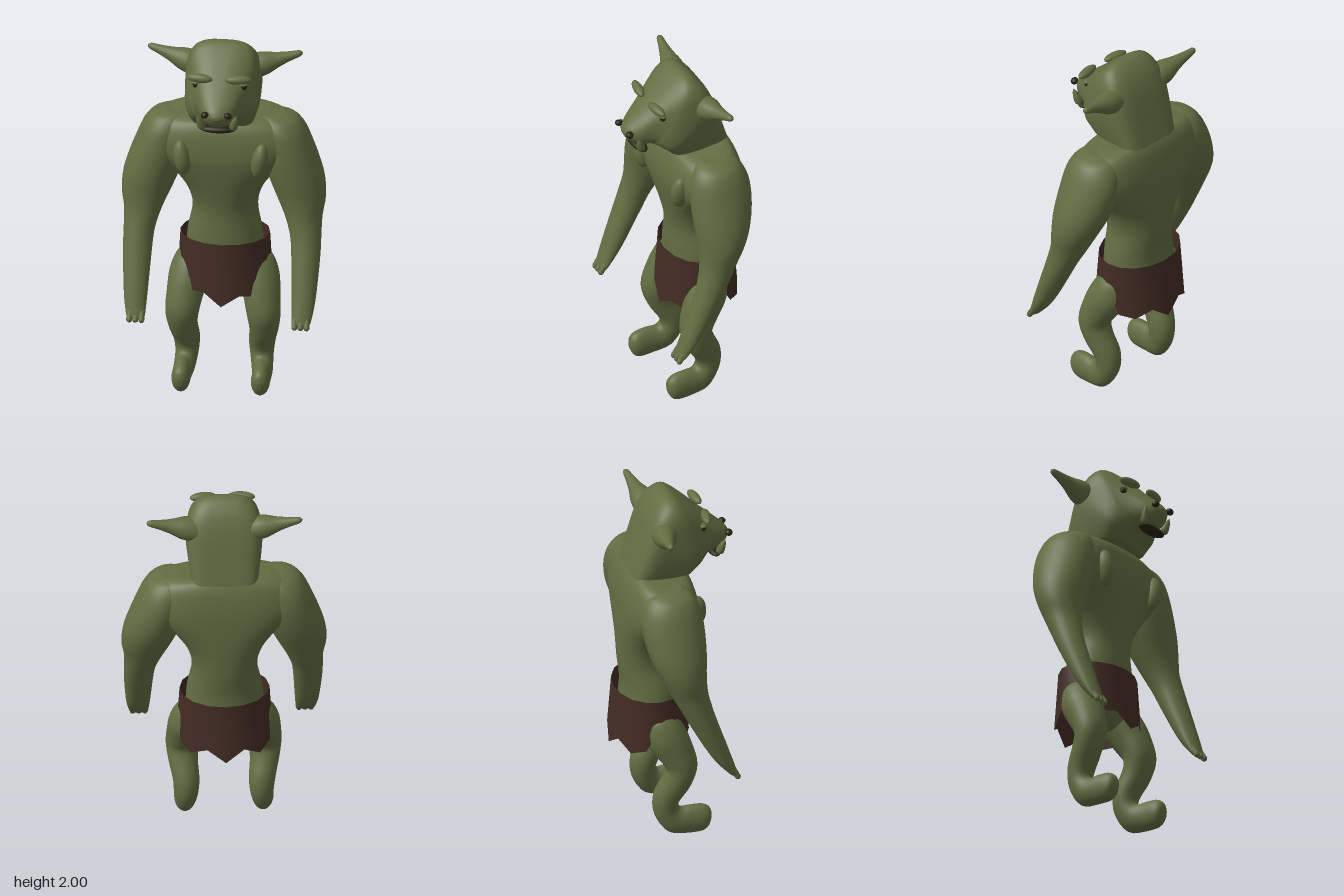
import * as THREE from 'three';

const mat = (name, color, side = THREE.FrontSide) => {
  const m = new THREE.MeshStandardMaterial({ color, side });
  m.name = name;
  return m;
};

// Catmull-Rom blend of number rows, so a few cross-sections give a smooth form
function smoothRows(rows, steps) {
  const out = [];
  const at = i => rows[Math.min(Math.max(i, 0), rows.length - 1)];
  for (let i = 0; i < rows.length - 1; i++) {
    const [a, b, c, d] = [at(i - 1), at(i), at(i + 1), at(i + 2)];
    for (let s = 0; s < steps; s++) {
      const t = s / steps;
      out.push(b.map((v, k) => v + 0.5 * t * (c[k] - a[k] +
        t * (2 * a[k] - 5 * v + 4 * c[k] - d[k] + t * (3 * (v - c[k]) + d[k] - a[k])))));
    }
  }
  out.push(at(rows.length - 1));
  return out;
}

// Loft of superellipse rings; row = [cx, cy, cz, half width, vy, vz, power],
// v = half depth vector, power 1 = round and lower = squarer
function loft(rows, { taper = 0, floor = -1, seg = 28, steps = 4 } = {}) {
  const pos = [], idx = [];
  const rings = smoothRows(rows, steps);
  const bend = (v, power) => Math.sign(v) * Math.abs(v) ** power;
  const ringPoints = ([cx, cy, cz, w, vy, vz, power]) => {
    for (let i = 0; i < seg; i++) {
      const a = i / seg * Math.PI * 2, c = bend(Math.cos(a), power), s = bend(Math.sin(a), power);
      pos.push(cx + c * w * (1 + taper * s), Math.max(floor, cy + s * vy), cz + s * vz);
    }
  };
  rings.forEach((r, j) => {
    ringPoints(r);
    if (!j) return;
    for (let i = 0; i < seg; i++) {
      const a = (j - 1) * seg + i, b = (j - 1) * seg + (i + 1) % seg;
      idx.push(a, b, b + seg, a, b + seg, a + seg);
    }
  });
  // end caps with their own corners, so the rims stay crisp
  [rings[0], rings[rings.length - 1]].forEach((r, end) => {
    const base = pos.length / 3;
    ringPoints(r);
    pos.push(r[0], Math.max(floor, r[1]), r[2]);
    for (let i = 0; i < seg; i++) {
      const a = base + i, b = base + (i + 1) % seg;
      if (end) idx.push(a, b, base + seg); else idx.push(b, a, base + seg);
    }
  });
  const g = new THREE.BufferGeometry();
  g.setAttribute('position', new THREE.Float32BufferAttribute(pos, 3));
  g.setIndex(idx);
  g.computeVertexNormals();
  return g;
}

// Level section: [y, cx, cz, rx, rz, power, rise towards the back]
const level = ([y, cx, cz, rx, rz, power = 1, rise = 0]) => [cx, y, cz, rx, rise, -rz, power];

// Sections square to a path in the side plane: [x, y, z, rx, r]
const along = rows => rows.map(([x, y, z, rx, r], i) => {
  const p = rows[Math.max(i - 1, 0)], q = rows[Math.min(i + 1, rows.length - 1)];
  const ty = q[1] - p[1], tz = q[2] - p[2], l = Math.hypot(ty, tz);
  return [x, y, z, rx, r * tz / l, -r * ty / l, 1];
});

export function createModel() {
  const skin = mat('green skin', 0x626d42);
  const cloth = mat('brown cloth', 0x432c24, THREE.DoubleSide);
  const dark = mat('dark detail', 0x26220f);
  const model = new THREE.Group();

  const add = (parent, name, geo, m) => {
    const mesh = new THREE.Mesh(geo, m);
    mesh.name = name;
    parent.add(mesh);
    return mesh;
  };
  const blob = (parent, name, m, p, s) => {
    const b = add(parent, name, new THREE.SphereGeometry(1, 20, 14), m);
    b.position.set(...p);
    b.scale.set(...s);
    return b;
  };
  // Tapered round spike from one point to another
  const spike = (parent, name, from, to, profile) => {
    const a = new THREE.Vector3(...from), d = new THREE.Vector3(...to).sub(a), len = d.length();
    const pts = profile.map(([r, t]) => new THREE.Vector2(r, t * len));
    const g = new THREE.LatheGeometry(new THREE.SplineCurve(pts).getPoints(14), 18);
    const s = add(parent, name, g, skin);
    s.position.copy(a);
    s.quaternion.setFromUnitVectors(new THREE.Vector3(0, 1, 0), d.normalize());
    return s;
  };

  // Torso, with a broad back that runs into the shoulders
  add(model, 'torso', loft([
    [0.54, 0, -0.1, 0.03, 0.03], [0.6, 0, -0.11, 0.14, 0.11], [0.7, 0, -0.11, 0.2, 0.16],
    [0.85, 0, -0.105, 0.198, 0.158], [1.0, 0, -0.115, 0.172, 0.165, 0.95],
    [1.12, 0, -0.107, 0.2, 0.178, 0.88], [1.22, 0, -0.097, 0.265, 0.19, 0.8],
    [1.33, 0, -0.087, 0.36, 0.198, 0.72], [1.42, 0, -0.086, 0.395, 0.192, 0.72],
    [1.5, 0, -0.085, 0.375, 0.175, 0.75, 0.01], [1.545, 0, -0.085, 0.32, 0.155, 0.8, 0.015],
    [1.562, 0, -0.085, 0.24, 0.14, 0.85, 0.018]].map(level), { seg: 48 }), skin);

  // Head: sections fan round from the neck to the snout, [back z, y, front z, y, half width, power]
  add(model, 'head', loft([
    [-0.238, 1.565, 0.1, 1.553, 0.172, 0.4], [-0.2, 1.69, 0.12, 1.575, 0.188, 0.45],
    [-0.15, 1.845, 0.145, 1.595, 0.2, 0.5], [-0.095, 1.945, 0.165, 1.61, 0.193, 0.55],
    [-0.02, 1.997, 0.185, 1.615, 0.175, 0.65], [0.06, 1.952, 0.2, 1.615, 0.15, 0.75],
    [0.16, 1.86, 0.23, 1.615, 0.118, 0.82], [0.25, 1.78, 0.27, 1.625, 0.088, 0.9],
    [0.3, 1.735, 0.3, 1.65, 0.055, 1], [0.32, 1.705, 0.32, 1.685, 0.018, 1],
  ].map(([bz, by, fz, fy, w, power]) =>
    [0, (by + fy) / 2, (bz + fz) / 2, w, (by - fy) / 2, (bz - fz) / 2, power]),
  { taper: 0.05, seg: 48 }), skin);

  // Mouth
  blob(model, 'mouth', dark, [0, 1.602, 0.237], [0.098, 0.021, 0.038]);

  for (const side of [1, -1]) {
    const half = new THREE.Group();
    half.name = side > 0 ? 'leftSide' : 'rightSide';
    half.scale.x = side;
    model.add(half);

    // Arm and fingers
    add(half, 'arm', loft([
      [0.475, 0.438, 0.212, 0.05, 0.024], [0.55, 0.443, 0.168, 0.06, 0.045],
      [0.65, 0.445, 0.12, 0.068, 0.06], [0.8, 0.445, 0.055, 0.077, 0.075],
      [0.9, 0.44, 0.015, 0.083, 0.085], [1.0, 0.425, -0.022, 0.1, 0.1],
      [1.1, 0.41, -0.048, 0.13, 0.122], [1.2, 0.385, -0.066, 0.147, 0.148],
      [1.3, 0.355, -0.078, 0.148, 0.163], [1.4, 0.33, -0.085, 0.135, 0.165],
      [1.48, 0.305, -0.085, 0.125, 0.15], [1.535, 0.285, -0.085, 0.1, 0.115],
      [1.557, 0.26, -0.085, 0.06, 0.07]].map(level)), skin);
    [0.405, 0.437, 0.469].forEach(x => {
      const f = add(half, 'finger', new THREE.CapsuleGeometry(0.016, 0.04, 4, 10), skin);
      f.position.set(x, 0.474, 0.222);
      f.rotation.x = -0.55;
    });

    // Chest fold
    blob(half, 'chestFold', skin, [0.205, 1.35, 0.085], [0.045, 0.1, 0.055]).rotation.z = -0.15;

    // Leg and foot in one sweep, flattened at the sole
    add(half, 'leg', loft(along([
      [0.15, 0.75, -0.11, 0.05, 0.05], [0.158, 0.71, -0.11, 0.095, 0.088],
      [0.178, 0.62, -0.085, 0.112, 0.11], [0.2, 0.52, -0.035, 0.1, 0.1],
      [0.215, 0.42, 0, 0.09, 0.086], [0.215, 0.33, -0.025, 0.078, 0.08],
      [0.2, 0.23, -0.075, 0.07, 0.074], [0.198, 0.15, -0.077, 0.062, 0.068],
      [0.205, 0.085, -0.03, 0.056, 0.078], [0.21, 0.075, 0.05, 0.05, 0.082],
      [0.21, 0.072, 0.115, 0.049, 0.079], [0.21, 0.068, 0.15, 0.038, 0.058],
      [0.21, 0.065, 0.165, 0.012, 0.02]]), { floor: 0 }), skin);

    // Ear
    spike(half, 'ear', [0.15, 1.825, -0.075], [0.41, 1.9, -0.115],
      [[0.068, 0], [0.062, 0.25], [0.04, 0.5], [0.025, 0.75], [0.016, 0.95], [0, 1]]);

    // Brow, eye, nostril and tusk
    const brow = blob(half, 'brow', skin, [0.103, 1.86, 0.173], [0.07, 0.024, 0.026]);
    brow.rotation.y = 0.15;
    blob(half, 'eye', dark, [0.125, 1.81, 0.148], [0.019, 0.018, 0.016]);
    blob(half, 'eyelid', skin, [0.125, 1.824, 0.148], [0.024, 0.009, 0.02]);
    blob(half, 'nostril', dark, [0.061, 1.713, 0.311], [0.021, 0.017, 0.02]).rotation.z = -0.4;
    spike(half, 'tusk', [0.08, 1.605, 0.25], [0.103, 1.7, 0.278],
      [[0, 0], [0.02, 0.12], [0.021, 0.4], [0.013, 0.75], [0, 1]]);
  }

  // Ragged loincloth: ring of panels with an uneven hem, starting at the front
  const hem = [0.49, 0.55, 0.53, 0.63, 0.7, 0.55, 0.53, 0.57, 0.5, 0.57, 0.52, 0.55, 0.7, 0.65, 0.55, 0.565];
  const pos = [], idx = [], n = hem.length;
  hem.forEach((low, i) => {
    const a = i / n * Math.PI * 2;
    for (const y of [0.84, low]) {
      const k = (0.84 - y) / 0.34;
      pos.push(Math.sin(a) * (0.237 + 0.02 * k), y, -0.115 + Math.cos(a) * (0.19 + 0.026 * k));
    }
    const p = i * 2, q = (i + 1) % n * 2;
    idx.push(p, p + 1, q + 1, p, q + 1, q);
  });
  const skirt = new THREE.BufferGeometry();
  skirt.setAttribute('position', new THREE.Float32BufferAttribute(pos, 3));
  skirt.setIndex(idx);
  skirt.computeVertexNormals();
  add(model, 'loincloth', skirt, cloth);

  return model;
}
